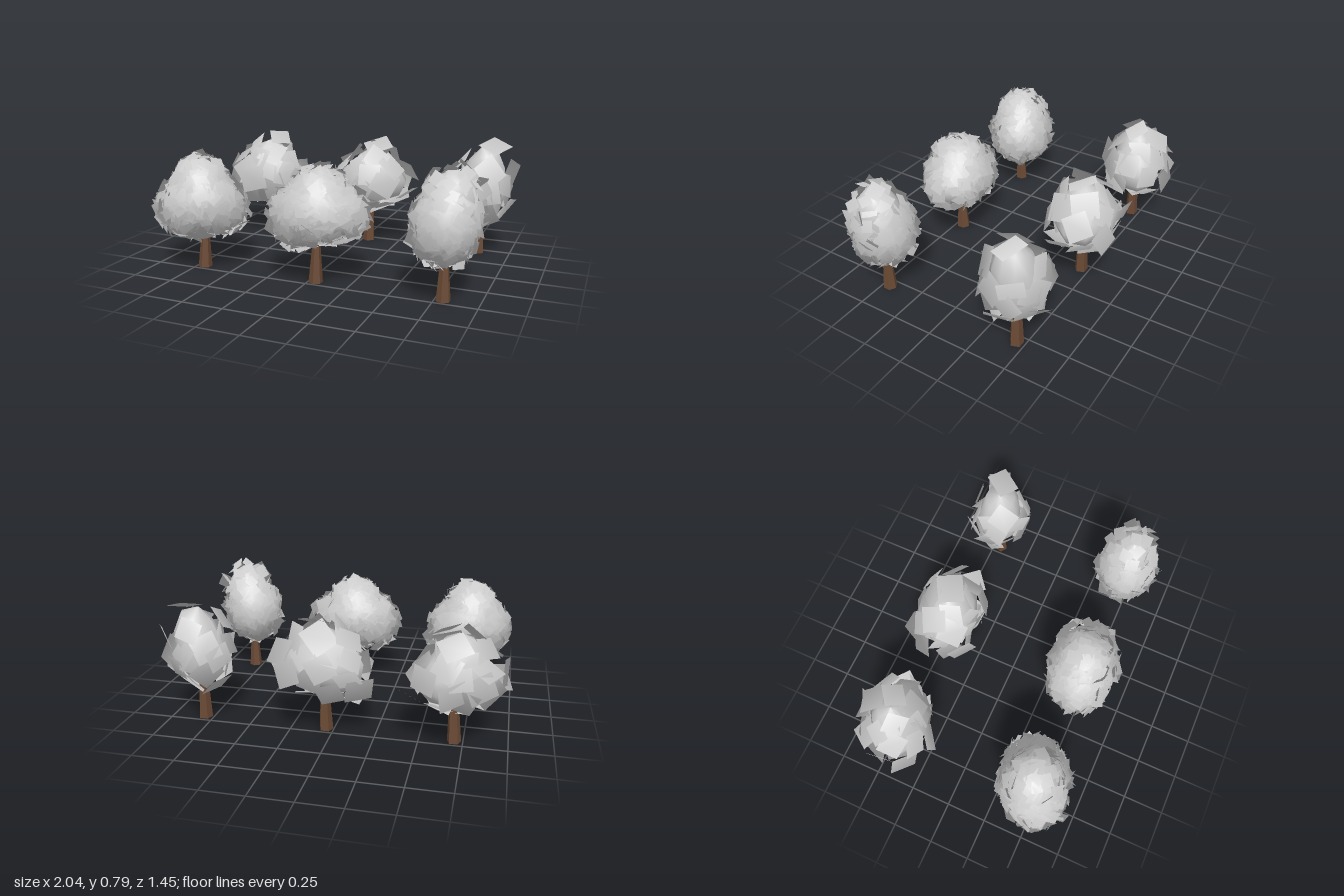
import * as THREE from 'three';
import { mergeGeometries } from 'three/addons/utils/BufferGeometryUtils.js';

const leafMat = new THREE.MeshStandardMaterial({ color: 0xcccccc, side: THREE.DoubleSide });
const barkMat = new THREE.MeshStandardMaterial({ color: 0x6b4a35, flatShading: true });
const V = (x, y, z) => new THREE.Vector3(x, y, z);
const HUB = V(0, 0.42, 0); // point inside every crown

// small seeded random generator
function seeded(seed) {
  let s = seed;
  return () => {
    s = (s * 16807) % 2147483647;
    return s / 2147483647;
  };
}

// crowns as overlapping ellipsoid lobes: centre, radii, turn about y
const species = [
  { name: 'broadTree', x: -0.7, lean: 0.05, lobes: [
    [-0.005, 0.4, 0, 0.245, 0.17, 0.185, 0.3], [-0.08, 0.38, 0.045, 0.165, 0.16, 0.165, 0],
    [0.09, 0.36, -0.05, 0.155, 0.14, 0.15, 0], [-0.005, 0.49, 0, 0.16, 0.2, 0.15, 0]] },
  { name: 'spreadingTree', x: 0.045, lean: 0.03, lobes: [
    [0.015, 0.42, -0.01, 0.26, 0.165, 0.19, 0.12], [-0.1, 0.38, 0, 0.15, 0.16, 0.16, 0],
    [0.14, 0.415, -0.035, 0.16, 0.13, 0.155, 0], [0.03, 0.495, -0.01, 0.16, 0.18, 0.155, 0]] },
  { name: 'tallTree', x: 0.8, lean: 0, lobes: [
    [-0.015, 0.4, -0.005, 0.16, 0.185, 0.155, 0], [0.035, 0.565, -0.005, 0.14, 0.185, 0.135, 0],
    [0.005, 0.45, -0.005, 0.16, 0.205, 0.155, 0]] },
];

// distance from the hub to the crown surface along d, lobes softly blended
function reach(lobes, d) {
  let sum = 0;
  for (const [cx, cy, cz, rx, ry, rz, turn] of lobes) {
    const R = V(rx, ry, rz), up = V(0, 1, 0);
    const o = HUB.clone().sub(V(cx, cy, cz)).applyAxisAngle(up, -turn).divide(R);
    const e = d.clone().applyAxisAngle(up, -turn).divide(R);
    const a = e.dot(e), b = o.dot(e), c = o.dot(o) - 1;
    sum += ((-b + Math.sqrt(b * b - a * c)) / a) ** 16;
  }
  return sum ** (1 / 16);
}
const surface = (lobes, d, scale) => d.clone().multiplyScalar(reach(lobes, d) * scale).add(HUB);

// outward surface normal by finite differences
function surfaceNormal(lobes, d) {
  const u = V(0, 1, 0).cross(d).normalize();
  const v = d.clone().cross(u);
  const q = (t, s) => surface(lobes, d.clone().addScaledVector(t, 0.12 * s).normalize(), 1);
  return q(u, 1).sub(q(u, -1)).cross(q(v, 1).sub(q(v, -1))).normalize();
}

// closed inner mass of foliage
function crownCore(lobes, { segments, coreScale }) {
  const g = new THREE.SphereGeometry(1, segments, Math.round(segments * 0.66));
  const pos = g.attributes.position;
  for (let i = 0; i < pos.count; i++) {
    const p = surface(lobes, V().fromBufferAttribute(pos, i).normalize(), coreScale);
    pos.setXYZ(i, p.x, p.y, p.z);
  }
  g.computeVertexNormals();
  return g;
}

// square leaf cards scattered over the crown, shaded with the crown's round normals
function leafCards(lobes, { density, size, tilt, lift, cardScale }, rand) {
  const cards = [];
  const count = density * lobes.length;
  for (let i = 0; i < count; i++) {
    const y = 1 - (2 * (i + 0.5)) / count;
    const a = i * 2.39996 + (rand() - 0.5) * 0.3;
    const s = Math.sqrt(1 - y * y);
    const d = V(s * Math.cos(a), y, s * Math.sin(a));
    const n = surfaceNormal(lobes, d);
    const facing = n.clone().add(V(rand() - 0.5, rand() - 0.5, rand() - 0.5).multiplyScalar(tilt)).normalize();
    const k = size * (0.85 + 0.3 * rand());
    const g = new THREE.PlaneGeometry(k, k);
    g.rotateZ(rand() * Math.PI);
    g.applyQuaternion(new THREE.Quaternion().setFromUnitVectors(V(0, 0, 1), facing));
    const p = surface(lobes, d, cardScale).addScaledVector(n, lift * rand());
    g.translate(p.x, p.y, p.z);
    for (let j = 0; j < 4; j++) {
      const out = V().fromBufferAttribute(g.attributes.position, j).sub(HUB).normalize().add(n).normalize();
      g.attributes.normal.setXYZ(j, out.x, out.y, out.z);
    }
    cards.push(g);
  }
  return mergeGeometries(cards);
}

// tapered trunk with a slight lean
function trunk({ sides, trunkTop }, lean) {
  const g = new THREE.CylinderGeometry(trunkTop, 0.042, 0.34, sides);
  g.translate(0, 0.17, 0);
  const pos = g.attributes.position;
  for (let i = 0; i < pos.count; i++) {
    pos.setX(i, pos.getX(i) + lean * pos.getY(i));
  }
  return g;
}

function part(name, geometry, material) {
  const m = new THREE.Mesh(geometry, material);
  m.name = name;
  return m;
}

// fine foliage in front, coarse foliage behind
const rows = [
  { name: 'dense', z: 0.453, seed: 101, sides: 6, trunkTop: 0.015, segments: 24, coreScale: 0.93,
    density: 95, size: 0.074, tilt: 1.25, lift: 0.028, cardScale: 0.96 },
  { name: 'sparse', z: -0.45, seed: 907, sides: 5, trunkTop: 0.024, segments: 12, coreScale: 0.86,
    density: 9, size: 0.145, tilt: 0.8, lift: 0.05, cardScale: 0.88 },
];

function makeTree({ name, x, lean, lobes }, index, row) {
  const tree = new THREE.Group();
  tree.name = `${row.name} ${name}`;
  tree.add(
    part('trunk', trunk(row, lean), barkMat),
    part('crownCore', crownCore(lobes, row), leafMat),
    part('leafCards', leafCards(lobes, row, seeded(row.seed + index * 37)), leafMat),
  );
  tree.position.set(x, 0, row.z);
  return tree;
}

export function createModel() {
  const model = new THREE.Group();
  model.name = 'treeSet';
  for (const row of rows) {
    species.forEach((sp, i) => model.add(makeTree(sp, i, row)));
  }
  return model;
}
